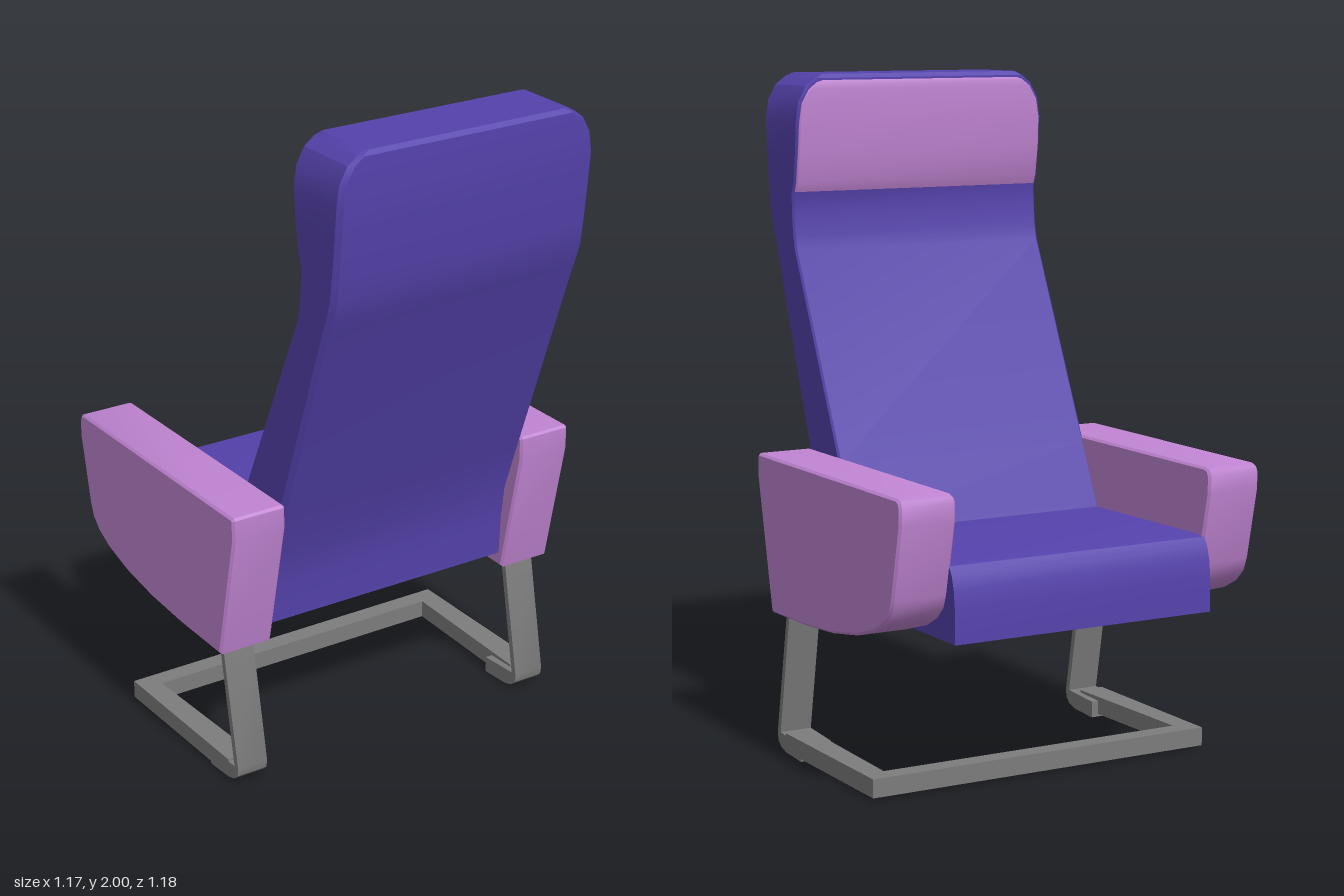
import * as THREE from 'three';
import { toCreasedNormals } from 'three/addons/utils/BufferGeometryUtils.js';

const mat = (name, color) => new THREE.MeshStandardMaterial({ name, color });

// Extrude a side outline of [z, y] points along x, from x0 to x1.
function sideExtrude(points, x0, x1, bevel = 0) {
  const shape = new THREE.Shape(points.map(([z, y]) => new THREE.Vector2(z, y)));
  const g = new THREE.ExtrudeGeometry(shape, {
    depth: x1 - x0 - 2 * bevel, bevelEnabled: bevel > 0,
    bevelSize: bevel, bevelThickness: bevel, bevelOffset: -bevel, bevelSegments: 1,
  });
  g.rotateY(-Math.PI / 2);
  g.translate(x1 - bevel, 0, 0);
  return toCreasedNormals(g, 0.5);
}

// Loft through rows [y, zFront, zBack, halfWidth]; edges chamfered by f (front) and b (back).
function loft(rows, f, b) {
  const pos = [], idx = [], n = 8;
  for (const [y, zf, zb, w] of rows) {
    const loop = [[-w + b, zb], [w - b, zb], [w, zb - b], [w, zf + f],
      [w - f, zf], [-w + f, zf], [-w, zf + f], [-w, zb - b]];
    for (const [x, z] of loop) pos.push(x, y, z);
  }
  for (let r = 0; r < rows.length - 1; r++) {
    for (let i = 0; i < n; i++) {
      const a = r * n + i, c = r * n + (i + 1) % n;
      idx.push(a, c, c + n, a, c + n, a + n);
    }
  }
  const top = (rows.length - 1) * n;
  for (let i = 1; i < n - 1; i++) {
    idx.push(top, top + i, top + i + 1);
    idx.push(0, i + 1, i);
  }
  const g = new THREE.BufferGeometry();
  g.setAttribute('position', new THREE.Float32BufferAttribute(pos, 3));
  g.setIndex(idx);
  return toCreasedNormals(g, 0.4);
}

export function createModel() {
  const group = new THREE.Group();
  const purple = mat('purpleFabric', 0x5542ac);
  const pink = mat('pinkFabric', 0xc084d2);
  const grey = mat('greyMetal', 0x7c7c7c);
  const add = (name, geometry, material) => {
    const m = new THREE.Mesh(geometry, material);
    m.name = name;
    group.add(m);
  };

  // Reclined backrest with a thicker head section and rounded top corners
  add('backrest', loft([
    [0.48, -0.05, 0.215, 0.419],
    [0.60, -0.03, 0.222, 0.419],
    [0.70, 0.016, 0.236, 0.419],
    [0.88, 0.10, 0.30, 0.419],
    [1.48, 0.378, 0.519, 0.419],
    [1.52, 0.388, 0.535, 0.419],
    [1.58, 0.395, 0.557, 0.419],
    [1.645, 0.397, 0.566, 0.419],
    [1.68, 0.385, 0.571, 0.419],
    [1.77, 0.371, 0.581, 0.419],
    [1.86, 0.364, 0.59, 0.419],
    [1.92, 0.364, 0.59, 0.41],
    [1.965, 0.364, 0.59, 0.385],
    [1.988, 0.364, 0.589, 0.355],
    [2.0, 0.374, 0.577, 0.335],
  ], 0.006, 0.014), purple);

  // Head cushion following the front of the head section
  add('headCushion', loft([
    [1.652, 0.391, 0.41, 0.413],
    [1.68, 0.379, 0.40, 0.413],
    [1.77, 0.365, 0.385, 0.413],
    [1.86, 0.358, 0.378, 0.411],
    [1.915, 0.358, 0.378, 0.402],
    [1.955, 0.358, 0.378, 0.379],
    [1.976, 0.360, 0.378, 0.352],
    [1.982, 0.363, 0.378, 0.335],
  ], 0.004, 0.004), pink);

  // Seat with a rounded front edge
  add('seat', sideExtrude([
    [0.2, 0.478], [0.2, 0.685], [-0.53, 0.697], [-0.555, 0.692], [-0.57, 0.67],
    [-0.582, 0.63], [-0.588, 0.58], [-0.589, 0.478],
  ], -0.42, 0.42), purple);

  // Armrests with a curved underside
  const arm = [
    [0.298, 0.895], [-0.56, 0.895], [-0.578, 0.889], [-0.586, 0.872], [-0.585, 0.82],
    [-0.54, 0.61], [-0.525, 0.57], [-0.49, 0.535], [-0.43, 0.503], [-0.32, 0.47],
    [-0.17, 0.446], [0, 0.434], [0.22, 0.43], [0.305, 0.82], [0.305, 0.888],
  ];
  // Flat legs bending into a curved foot
  const leg = [
    [0.162, 0.45], [0.18, 0.45], [0.255, 0.055], [0.25, 0.03], [0.232, 0.014],
    [0.2, 0.005], [0.1, 0], [0.1, 0.05], [0.235, 0.058],
  ];
  for (const [side, s] of [['left', 1], ['right', -1]]) {
    const span = (a, b) => (s > 0 ? [a, b] : [-b, -a]);
    add(side + 'Armrest', sideExtrude(arm, ...span(0.414, 0.587), 0.007), pink);
    add(side + 'Leg', sideExtrude(leg, ...span(0.455, 0.555)), grey);
  }

  // U-shaped floor frame, drawn in plan and extruded upwards
  const plan = [
    [-0.555, 0.2], [-0.555, -0.36], [0.555, -0.36], [0.555, 0.2],
    [0.475, 0.2], [0.49, -0.3], [-0.49, -0.3], [-0.475, 0.2],
  ].map(([x, z]) => new THREE.Vector2(x, -z));
  const frame = new THREE.ExtrudeGeometry(new THREE.Shape(plan), { depth: 0.055, bevelEnabled: false });
  frame.rotateX(-Math.PI / 2);
  frame.translate(0, 0.008, 0);
  add('floorFrame', frame, grey);

  return group;
}
